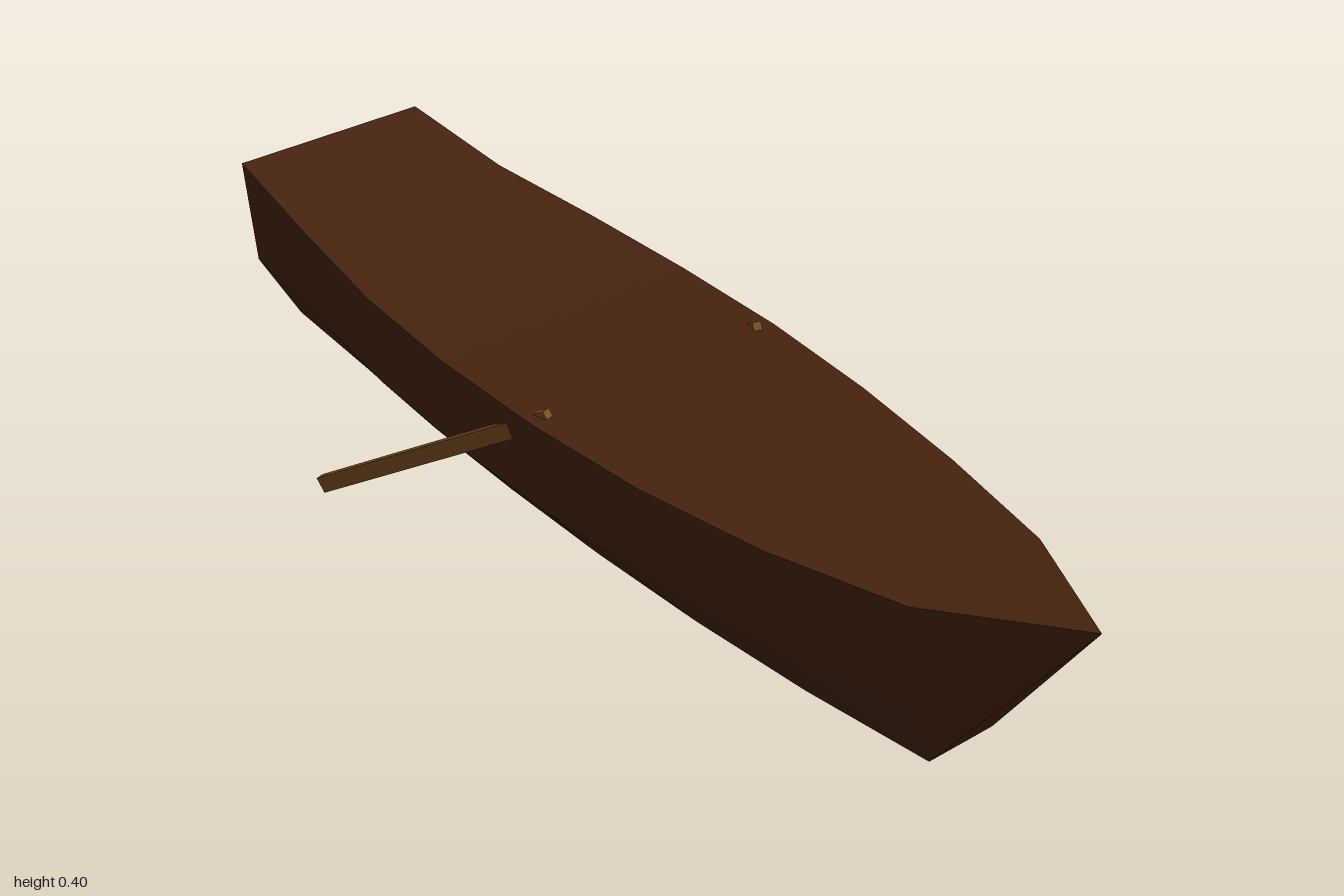
import * as THREE from 'three';

const hullWood = new THREE.MeshStandardMaterial({ color: 0x46240f, flatShading: true });
hullWood.name = 'dark hull wood';
const oarWood = new THREE.MeshStandardMaterial({ color: 0x7a4e22, flatShading: true });
oarWood.name = 'oar wood';

// Stations along the hull: x, half width at the rim, rim height, chine height, bottom height
const stations = [
  [-1.0, 0.195, 0.40, 0.19, 0.042],
  [-0.75, 0.216, 0.365, 0.177, 0.038],
  [-0.5, 0.246, 0.352, 0.172, 0.035],
  [-0.25, 0.259, 0.347, 0.169, 0.034],
  [0, 0.257, 0.347, 0.169, 0.034],
  [0.25, 0.237, 0.347, 0.169, 0.034],
  [0.5, 0.197, 0.352, 0.172, 0.035],
  [0.75, 0.135, 0.365, 0.177, 0.038],
];
const bowTip = [0.997, 0.40, 0];

function hullGeometry() {
  const rings = stations.map(([x, w, rim, chine, base]) => [
    [x, rim, w], [x, chine, w * 0.92], [x, base, w * 0.5],
    [x, base, -w * 0.5], [x, chine, -w * 0.92], [x, rim, -w],
  ]);
  const pos = [];
  const tri = (a, b, c) => pos.push(...a, ...b, ...c);

  // Sides, bottom and closed deck
  for (let i = 0; i < rings.length - 1; i++) {
    for (let j = 0; j < 6; j++) {
      const k = (j + 1) % 6;
      tri(rings[i][j], rings[i][k], rings[i + 1][k]);
      tri(rings[i][j], rings[i + 1][k], rings[i + 1][j]);
    }
  }
  // Bow gathered into one point
  const last = rings[rings.length - 1];
  for (let j = 0; j < 6; j++) tri(last[j], last[(j + 1) % 6], bowTip);
  // Flat transom at the stern
  for (let j = 1; j < 5; j++) tri(rings[0][0], rings[0][j + 1], rings[0][j]);

  const geo = new THREE.BufferGeometry();
  geo.setAttribute('position', new THREE.Float32BufferAttribute(pos, 3));
  geo.computeVertexNormals();
  return geo;
}

// Square-edged oar running from the water up through the rim
function makeOar(side) {
  const outer = new THREE.Vector3(-0.5, 0.0135, 0.365 * side);
  const inner = new THREE.Vector3(0, 0.347, 0.222 * side);
  const oar = new THREE.Mesh(
    new THREE.BoxGeometry(0.016, 0.03, outer.distanceTo(inner)), oarWood);
  oar.position.copy(outer).lerp(inner, 0.5);
  oar.lookAt(inner);
  oar.name = side > 0 ? 'frontOar' : 'backOar';
  return oar;
}

export function createModel() {
  const boat = new THREE.Group();
  boat.name = 'rowingBoat';
  const hull = new THREE.Mesh(hullGeometry(), hullWood);
  hull.name = 'hull';
  boat.add(hull, makeOar(1), makeOar(-1));
  return boat;
}
